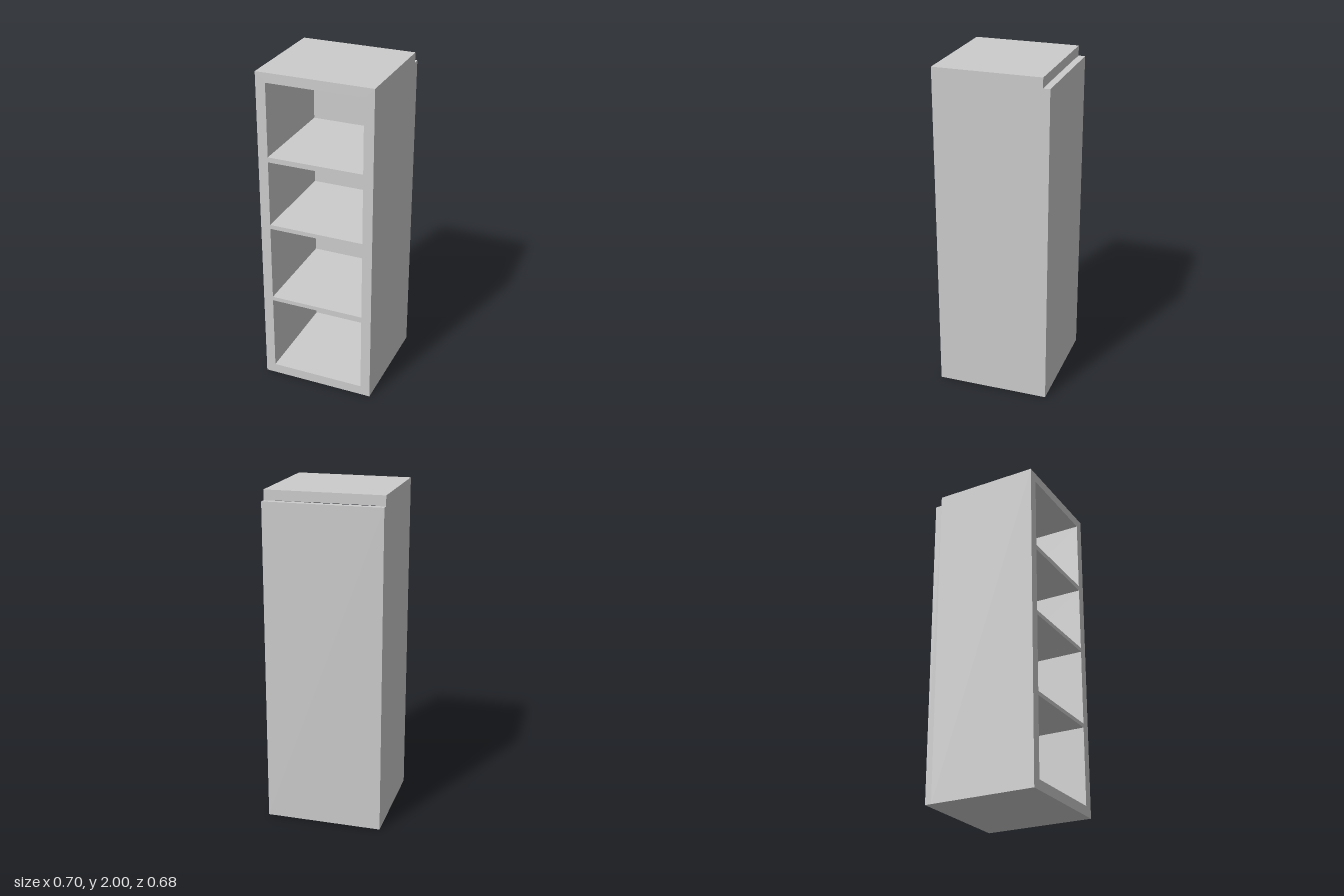
import * as THREE from 'three';

const WIDTH = 0.7, HEIGHT = 2, FRONT = 0.34, BACK = -0.34;
const PANEL = 0.04;          // back panel thickness
const PANEL_HEIGHT = 1.94;   // back panel stops below the top board
const INNER = 0.29;          // half width of the compartments

// bottom and top of each open compartment
const COMPARTMENTS = [[0.06, 0.54], [0.565, 1.037], [1.063, 1.466], [1.497, 1.942]];

function traceRect(path, halfWidth, y0, y1) {
  path.moveTo(-halfWidth, y0);
  path.lineTo(halfWidth, y0);
  path.lineTo(halfWidth, y1);
  path.lineTo(-halfWidth, y1);
  path.closePath();
  return path;
}

export function createModel() {
  const group = new THREE.Group();
  group.name = 'shelfUnit';
  const material = new THREE.MeshStandardMaterial({ color: 0xcccccc });

  // sides, top, bottom and shelves as one frame with a hole per compartment
  const outline = traceRect(new THREE.Shape(), WIDTH / 2, 0, HEIGHT);
  for (const [y0, y1] of COMPARTMENTS) {
    outline.holes.push(traceRect(new THREE.Path(), INNER, y0, y1));
  }
  const frame = new THREE.Mesh(
    new THREE.ExtrudeGeometry(outline, { depth: FRONT - BACK - PANEL, bevelEnabled: false }),
    material
  );
  frame.name = 'shelfFrame';
  frame.position.z = BACK + PANEL;
  group.add(frame);

  // full-width back panel, leaving a step along the rear top edge
  const panel = new THREE.Mesh(new THREE.BoxGeometry(WIDTH, PANEL_HEIGHT, PANEL), material);
  panel.name = 'backPanel';
  panel.position.set(0, PANEL_HEIGHT / 2, BACK + PANEL / 2);
  group.add(panel);

  return group;
}
